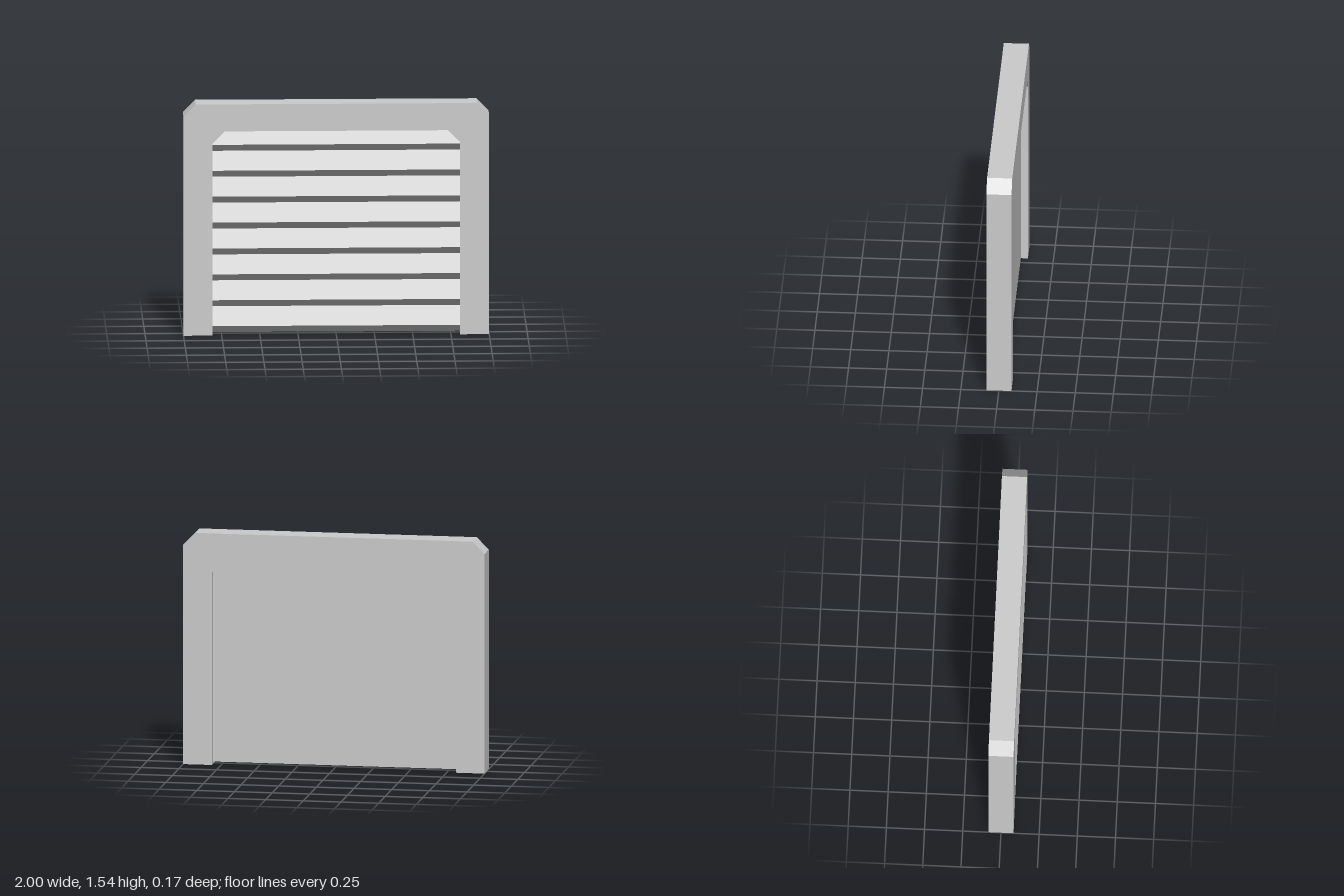
import * as THREE from 'three';

const material = new THREE.MeshStandardMaterial({ color: 0xcccccc, flatShading: true });

// Extrudes a closed outline, centred on its depth
function extrude(points, depth) {
  const shape = new THREE.Shape(points.map(([x, y]) => new THREE.Vector2(x, y)));
  return new THREE.ExtrudeGeometry(shape, { depth, bevelEnabled: false }).translate(0, 0, -depth / 2);
}

export function createModel() {
  const group = new THREE.Group();
  const add = (name, geometry) => {
    const mesh = new THREE.Mesh(geometry, material);
    mesh.name = name;
    group.add(mesh);
  };

  const depth = 0.165, front = depth / 2, chamfer = 0.08;
  const openHalf = 0.81, openTop = 1.36;

  // Door surround: two legs and a lintel with chamfered corners
  const arch = (half, top) => [
    [half, 0], [half, top - chamfer], [half - chamfer, top],
    [-half + chamfer, top], [-half, top - chamfer], [-half, 0],
  ];
  add('frame', extrude([...arch(1, 1.54), ...arch(openHalf, openTop).reverse()], depth));

  // Louvred shutter: saw-tooth front, flat recessed back, run across the opening
  const recess = 0.045, pitch = 0.1725, slats = 8, bottom = 0.015;
  const profile = [[-front + recess, bottom]];
  for (let i = 0; i < slats; i++) {
    const y = bottom + i * pitch;
    profile.push([front - recess, y], [front, y + 0.048]);
  }
  const top = bottom + slats * pitch;
  profile.push([front - recess, top], [-front + recess, top]);
  add('shutter', extrude(profile, openHalf * 2).rotateY(-Math.PI / 2));

  return group;
}
